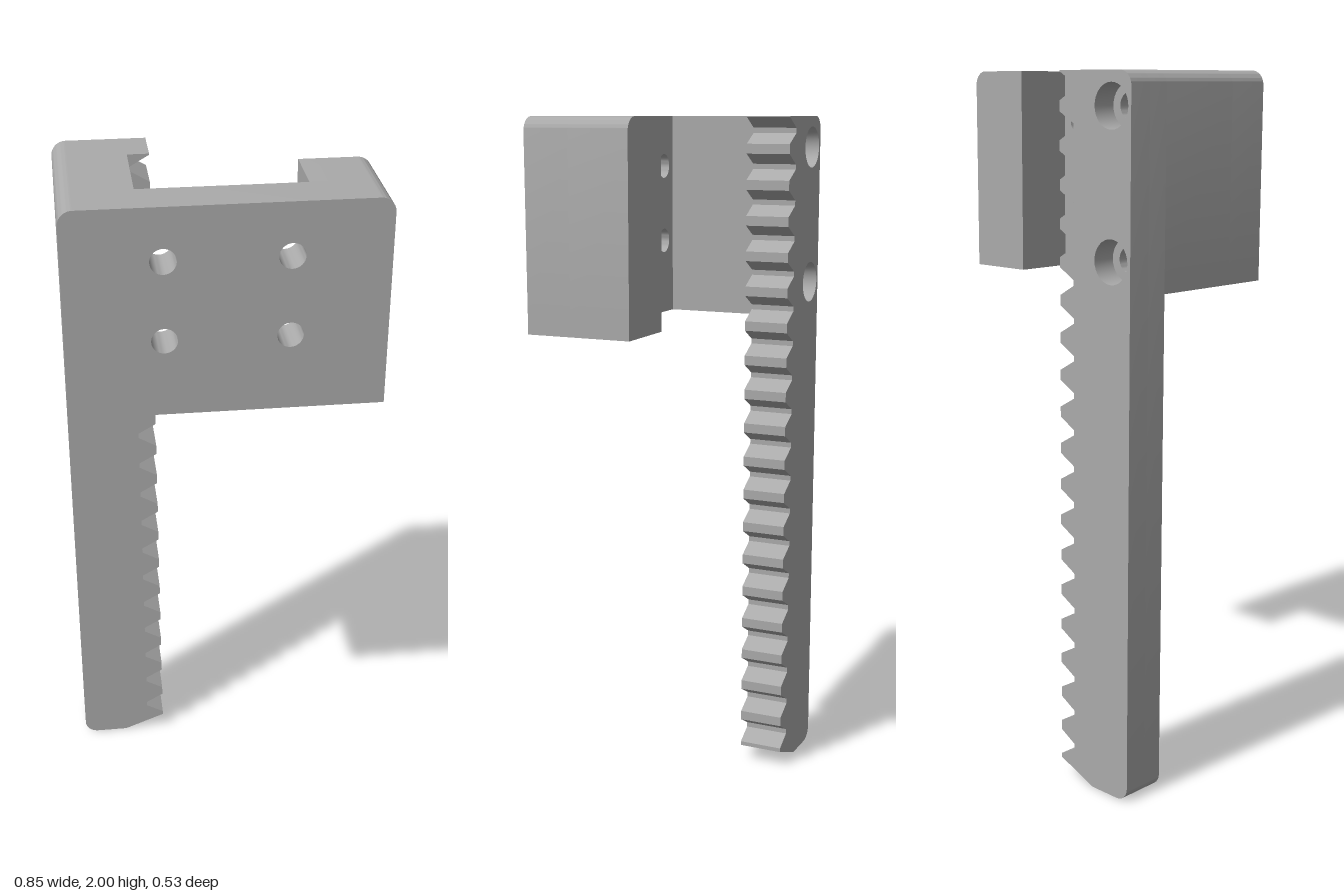
import * as THREE from 'three';
import { toCreasedNormals } from 'three/addons/utils/BufferGeometryUtils.js';

const grey = new THREE.MeshStandardMaterial({ color: 0xaaaaaa });
grey.name = 'grey';

const LEFT = -0.425, RIGHT = 0.425, TOP = 2, BOTTOM = 1.42, R = 0.04;
const SCREWS = [[-0.355, 1.91], [-0.355, 1.51]];

// Extrude a shape from z0 to z1, with sharp edges and smooth curves
function slab(name, shape, z0, z1) {
  const geo = new THREE.ExtrudeGeometry(shape, { depth: z1 - z0, bevelEnabled: false, curveSegments: 16 });
  geo.translate(0, 0, z0);
  const mesh = new THREE.Mesh(toCreasedNormals(geo, 0.5), grey);
  mesh.name = name;
  return mesh;
}

function drill(shape, centres, r) {
  for (const [x, y] of centres) {
    shape.holes.push(new THREE.Path().absarc(x, y, r, 0, Math.PI * 2, true));
  }
  return shape;
}

// Rectangle of the bracket's height, with optional rounded top corners
function block(x0, x1, roundLeft, roundRight) {
  const s = new THREE.Shape();
  s.moveTo(x0, BOTTOM);
  s.lineTo(x1, BOTTOM);
  if (roundRight) {
    s.lineTo(x1, TOP - R);
    s.absarc(x1 - R, TOP - R, R, 0, Math.PI / 2, false);
  } else s.lineTo(x1, TOP);
  if (roundLeft) {
    s.lineTo(x0 + R, TOP);
    s.absarc(x0 + R, TOP - R, R, Math.PI / 2, Math.PI, false);
  } else s.lineTo(x0, TOP);
  s.closePath();
  return s;
}

// Toothed bar outline: slanted foot, notches up the inner edge, rounded outer corners
function rackShape() {
  const tip = -0.165, root = -0.217, pitch = 0.1033, mouth = 0.0375, floor = 0.0075;
  const s = new THREE.Shape();
  s.moveTo(LEFT + R, 0);
  s.lineTo(-0.29, 0);
  s.lineTo(tip, 0.05);
  for (let i = 0; i < 19; i++) {
    const y = 0.1 + i * pitch;
    s.lineTo(tip, y - mouth);
    s.lineTo(root, y - floor);
    s.lineTo(root, y + floor);
    s.lineTo(tip, Math.min(y + mouth, TOP - 0.001));
  }
  s.lineTo(tip, TOP);
  s.lineTo(LEFT + R, TOP);
  s.absarc(LEFT + R, TOP - R, R, Math.PI / 2, Math.PI, false);
  s.lineTo(LEFT, R);
  s.absarc(LEFT + R, R, R, Math.PI, Math.PI * 1.5, false);
  return s;
}

export function createModel() {
  const group = new THREE.Group();
  group.name = 'rackBracket';

  // Mounting bracket: drilled front plate and two arms reaching back
  const bracket = new THREE.Group();
  bracket.name = 'bracket';
  const bolts = [];
  for (const x of [-0.165, 0.165]) for (const y of [1.635, 1.855]) bolts.push([x, y]);
  bracket.add(
    slab('frontPlate', drill(block(LEFT, RIGHT, true, true), bolts, 0.035), 0.133, 0.265),
    slab('longArm', drill(block(LEFT, -0.225, true, false), SCREWS, 0.035), -0.132, 0.133),
    slab('shortArm', block(0.225, RIGHT, false, true), -0.043, 0.133),
  );

  // Toothed rack in two layers, so the screw holes are counterbored from the back
  const rack = new THREE.Group();
  rack.name = 'rack';
  rack.add(
    slab('rackFrontLayer', drill(rackShape(), SCREWS, 0.035), -0.195, -0.132),
    slab('rackBackLayer', drill(rackShape(), SCREWS, 0.06), -0.265, -0.195),
  );

  group.add(bracket, rack);
  return group;
}
